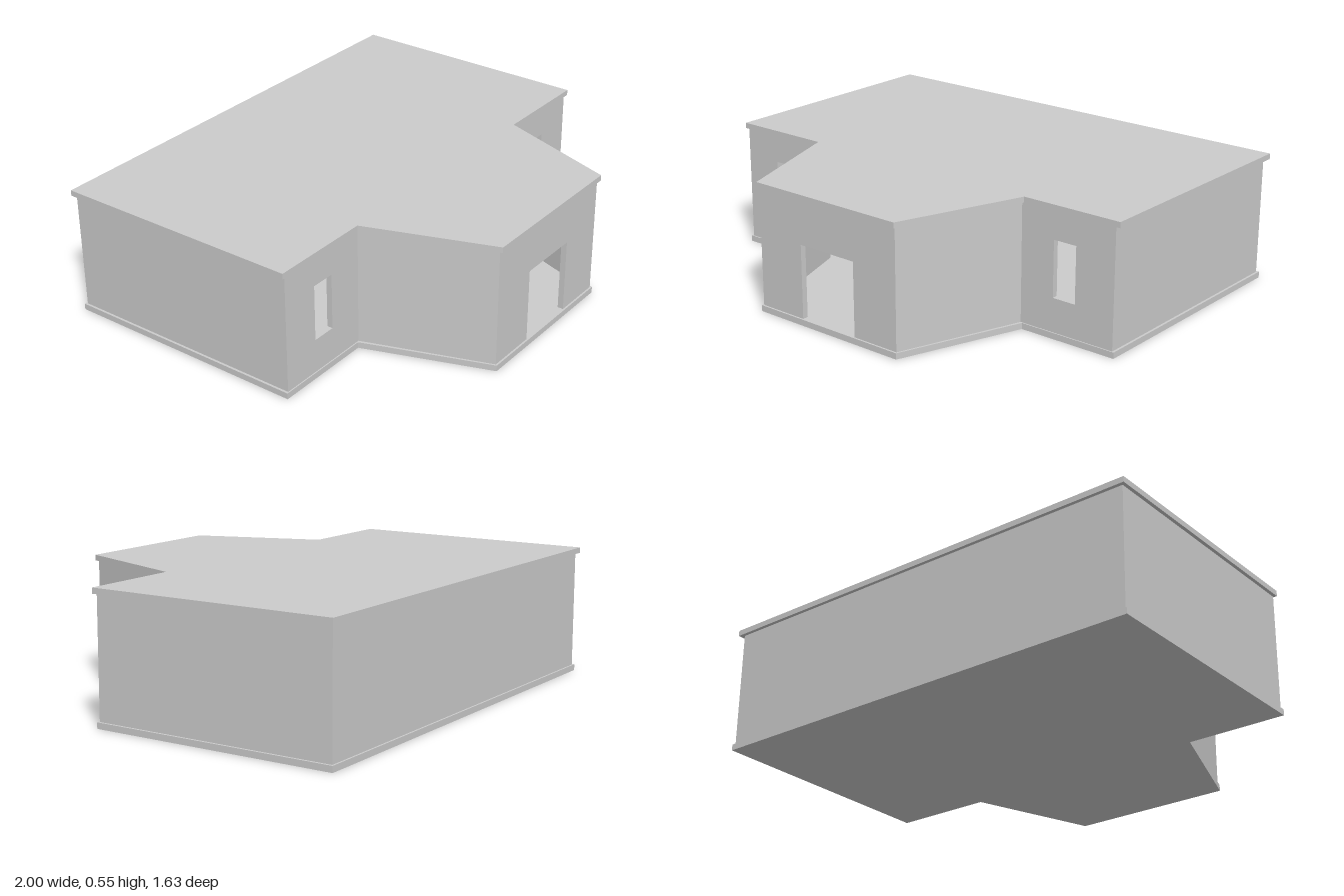
import * as THREE from 'three';

const T = 0.025;        // wall thickness
const Y0 = 0.026;       // floor level
const Y1 = 0.53;        // underside of roof
const CX = -0.003;      // plan centre of walls and base

// Plan outline [x, z]: wide main block with a tapering front wing
function footprint(cx, w, wide, narrow, back, mid, front) {
  return [
    [-w, mid], [-wide, mid], [-narrow, front], [narrow, front],
    [wide, mid], [w, mid], [w, back], [-w, back],
  ].map(([x, z]) => new THREE.Vector2(cx + x, -z));
}

// Flat slab extruded upward from a plan outline
function slab(name, outline, y, height, material) {
  const geo = new THREE.ExtrudeGeometry(new THREE.Shape(outline), { depth: height, bevelEnabled: false });
  geo.rotateX(-Math.PI / 2);
  const mesh = new THREE.Mesh(geo, material);
  mesh.position.y = y;
  mesh.name = name;
  return mesh;
}

// Wall panel along a plan edge, mitred at both ends; opening = [u0, u1, y0, y1]
function wall(name, a, b, miterA, miterB, opening, material) {
  const len = a.distanceTo(b);
  const V = (x, y) => new THREE.Vector2(x, y);
  const pts = [V(0, Y0), V(len, Y0), V(len, Y1), V(0, Y1)];
  let hole = null;
  if (opening) {
    const [u0, u1, v0, v1] = opening;
    if (v0 <= Y0) pts.splice(1, 0, V(u0, Y0), V(u0, v1), V(u1, v1), V(u1, Y0));
    else hole = new THREE.Path([V(u0, v0), V(u0, v1), V(u1, v1), V(u1, v0)]);
  }
  const shape = new THREE.Shape(pts);
  if (hole) shape.holes.push(hole);
  const geo = new THREE.ExtrudeGeometry(shape, { depth: T, bevelEnabled: false });
  geo.translate(0, 0, -T);
  const p = geo.attributes.position;
  for (let i = 0; i < p.count; i++) {
    if (p.getZ(i) > -T / 2) continue;
    if (p.getX(i) < 1e-5) p.setX(i, miterA);
    else if (p.getX(i) > len - 1e-5) p.setX(i, len - miterB);
  }
  geo.computeVertexNormals();
  const mesh = new THREE.Mesh(geo, material);
  mesh.position.set(a.x, 0, -a.y);
  mesh.rotation.y = Math.atan2(b.y - a.y, b.x - a.x);
  mesh.name = name;
  return mesh;
}

export function createModel() {
  const material = new THREE.MeshStandardMaterial({ color: 0xcccccc });
  const group = new THREE.Group();
  group.name = 'building';

  // Base and roof slabs, both projecting past the walls
  group.add(slab('baseSlab', footprint(CX, 0.992, 0.553, 0.365, -0.806, 0.275, 0.808), 0, Y0, material));
  group.add(slab('roofSlab', footprint(0, 1, 0.553, 0.364, -0.813, 0.275, 0.813), Y1, 0.024, material));

  // Walls, with a window each side of the wing and a doorway in its front
  const plan = footprint(CX, 0.982, 0.543, 0.36, -0.798, 0.27, 0.8);
  const names = ['leftFrontWall', 'wingLeftWall', 'wingFrontWall', 'wingRightWall',
    'rightFrontWall', 'rightWall', 'backWall', 'leftWall'];
  // Names follow the building's own sides: its left is +x
  const side = (n) => n.replace(/left|right|Left|Right/, (s) =>
    ({ left: 'right', right: 'left', Left: 'Right', Right: 'Left' })[s]);
  const openings = { // x0, x1, y0, y1
    0: [-0.815, -0.71, 0.17, 0.41],
    2: [-0.14, 0.14, 0, 0.34],
    4: [0.695, 0.8, 0.17, 0.41],
  };
  const n = plan.length;
  const miter = plan.map((p, i) => {
    const d0 = p.clone().sub(plan[(i + n - 1) % n]);
    const d1 = plan[(i + 1) % n].clone().sub(p);
    return T * Math.tan(Math.atan2(d0.cross(d1), d0.dot(d1)) / 2);
  });
  plan.forEach((a, i) => {
    const j = (i + 1) % n;
    const o = openings[i];
    const local = o && [o[0] - a.x, o[1] - a.x, o[2], o[3]];
    group.add(wall(side(names[i]), a, plan[j], miter[i], miter[j], local, material));
  });
  return group;
}
